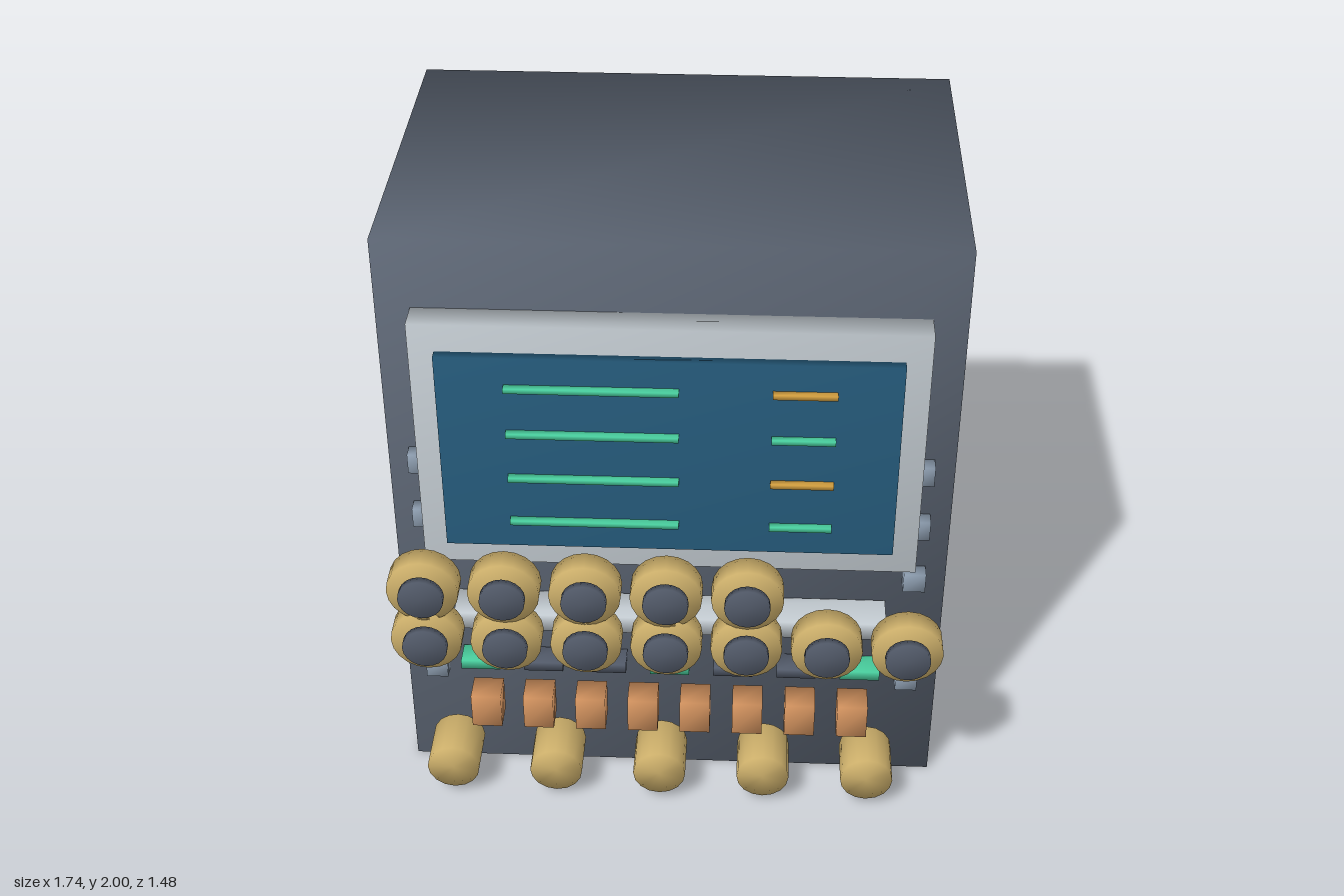
import * as THREE from 'three';
import { mergeVertices } from 'three/addons/utils/BufferGeometryUtils.js';

const mat = (name, color) => {
  const m = new THREE.MeshStandardMaterial({ color });
  m.name = name;
  return m;
};

// Weld shared corners so the normals run softly around every edge
function soften(geometry) {
  geometry.deleteAttribute('normal');
  geometry.deleteAttribute('uv');
  const welded = mergeVertices(geometry);
  welded.clearGroups();
  welded.computeVertexNormals();
  return welded;
}

export function createModel() {
  const model = new THREE.Group();
  model.name = 'controlCabinet';

  const slate = mat('slate', 0x5b6472);
  const silver = mat('silver', 0xc3cbd1);
  const screenBlue = mat('screenBlue', 0x265c7d);
  const green = mat('green', 0x48cc9c);
  const amber = mat('amber', 0xcf9c3e);
  const brass = mat('brass', 0xcbae6a);
  const copper = mat('copper', 0xd3935f);
  const steel = mat('steel', 0x8c9cae);
  const charcoal = mat('charcoal', 0x525a69);

  // Box centred at x, y, spanning z0 to z1
  function box(name, material, x, y, w, h, z0, z1) {
    const mesh = new THREE.Mesh(soften(new THREE.BoxGeometry(w, h, z1 - z0)), material);
    mesh.name = name;
    mesh.position.set(x, y, (z0 + z1) / 2);
    model.add(mesh);
  }

  // Disc facing +z, spanning z0 to z1
  function disc(name, material, x, y, rFront, rBack, z0, z1, sides) {
    const geometry = new THREE.CylinderGeometry(rFront, rBack, z1 - z0, sides);
    geometry.rotateX(Math.PI / 2);
    const mesh = new THREE.Mesh(soften(geometry), material);
    mesh.name = name;
    mesh.position.set(x, y, (z0 + z1) / 2);
    model.add(mesh);
  }

  // Cabinet and display
  box('cabinet', slate, 0, 1, 1.74, 2, -0.74, 0.425);
  box('screenBezel', silver, 0, 1.345, 1.53, 0.86, 0.425, 0.52);
  box('screen', screenBlue, 0, 1.345, 1.375, 0.68, 0.52, 0.552);

  // Readout lines
  for (let i = 0; i < 4; i++) {
    const y = 1.588 - i * 0.16;
    box('longReadout', green, -0.227, y, 0.515, 0.016, 0.552, 0.577);
    box('shortReadout', i % 2 ? green : amber, 0.4, y, 0.19, 0.016, 0.552, 0.575);
  }

  // Two rows of dials, five above seven
  [[5, 0.927], [7, 0.734]].forEach(([count, y]) => {
    for (let i = 0; i < count; i++) {
      const x = -0.75 + i * 0.249;
      disc('dial', brass, x, y, 0.111, 0.111, 0.627, 0.7, 20);
      disc('dialCap', charcoal, x, y, 0.07, 0.07, 0.715, 0.74, 20);
    }
  });

  // Rail behind the lower dials
  box('rail', silver, 0, 0.695, 1.37, 0.062, 0.43, 0.552);

  // Indicator lamps, every third one lit
  for (let i = 0; i < 7; i++) {
    box('indicator', i % 3 ? charcoal : green, -0.618 + i * 0.2055, 0.474, 0.127, 0.034, 0.43, 0.51);
  }

  // Switches
  for (let i = 0; i < 8; i++) {
    box('switch', copper, -0.601 + i * 0.171, 0.317, 0.098, 0.126, 0.465, 0.56);
  }

  // Bottom knobs
  for (let i = 0; i < 5; i++) {
    disc('bottomKnob', brass, -0.716 + i * 0.342, 0.114, 0.086, 0.086, 0.45, 0.614, 16);
  }

  // Bolts down both sides
  for (const side of [-1, 1]) {
    for (let i = 0; i < 5; i++) {
      box('bolt', steel, side * 0.77, 0.42 + i * 0.206, 0.07, 0.068, 0.425, 0.472);
    }
  }

  return model;
}
